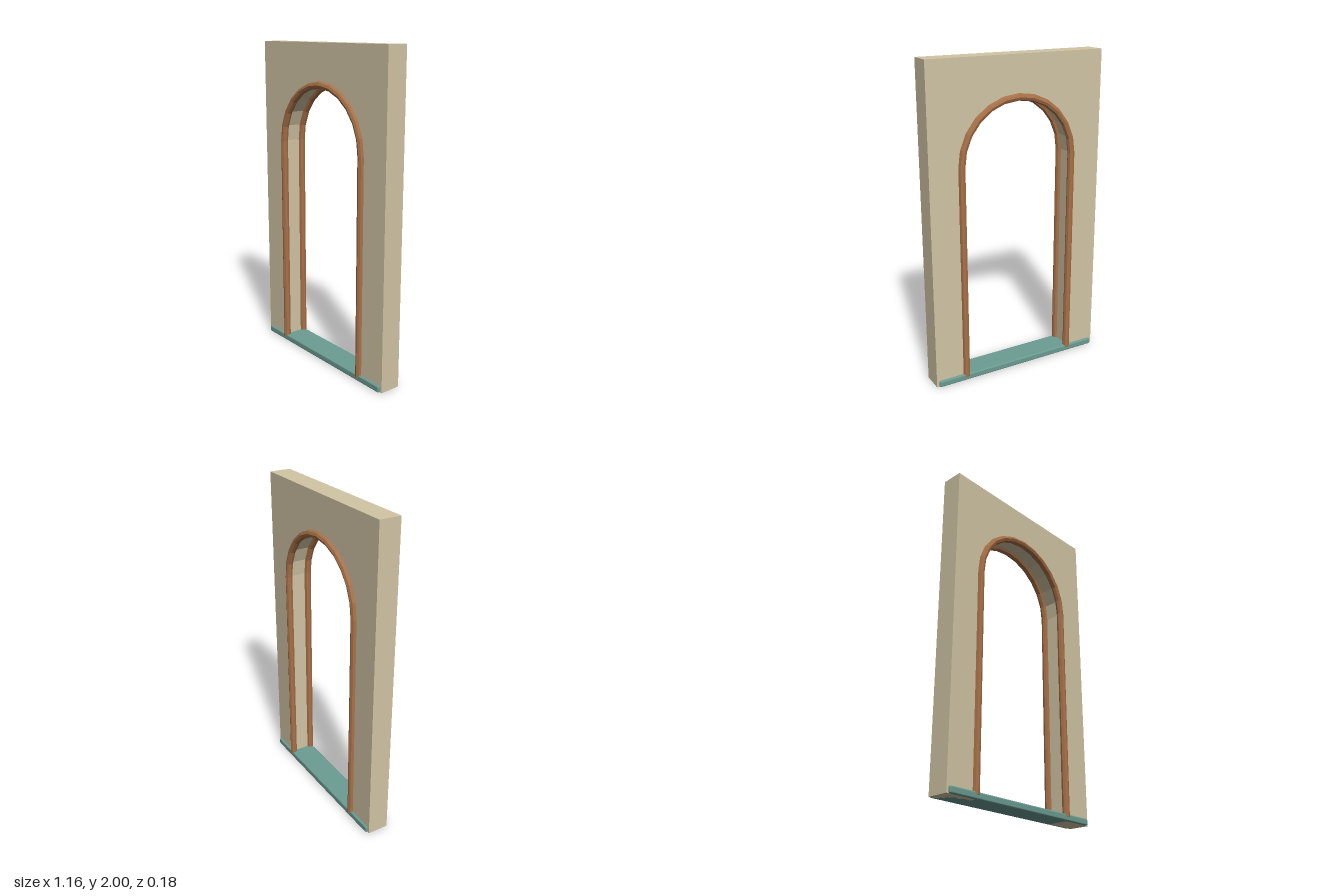
import * as THREE from 'three';
import { RoundedBoxGeometry } from 'three/addons/geometries/RoundedBoxGeometry.js';

const HALF_WIDTH = 0.58, HEIGHT = 2, WALL_DEPTH = 0.134;
const RADIUS = 0.375, SPRING = 1.38, ARC_STEPS = 12;
const TRIM_RADIUS = 0.022, TRIM_BOTTOM = 0.025;

const material = (color) => new THREE.MeshStandardMaterial({ color, flatShading: true });

function part(name, geometry, mat) {
  const mesh = new THREE.Mesh(geometry, mat);
  mesh.name = name;
  return mesh;
}

// Outline of the opening: right leg, faceted half circle, left leg
function archStations(bottom) {
  const up = new THREE.Vector3(0, 1, 0);
  const stations = [{ p: new THREE.Vector3(RADIUS, bottom, 0), t: up }];
  for (let i = 0; i <= ARC_STEPS; i++) {
    const a = (i / ARC_STEPS) * Math.PI;
    stations.push({
      p: new THREE.Vector3(RADIUS * Math.cos(a), SPRING + RADIUS * Math.sin(a), 0),
      t: new THREE.Vector3(-Math.sin(a), Math.cos(a), 0),
    });
  }
  stations.push({ p: new THREE.Vector3(-RADIUS, bottom, 0), t: up.clone().negate() });
  return stations;
}

// Curve that puts one tube ring exactly on each station
class ArchCurve extends THREE.Curve {
  constructor(stations) {
    super();
    this.stations = stations;
  }
  station(u) {
    return this.stations[Math.round(u * (this.stations.length - 1))];
  }
  getPointAt(u, target = new THREE.Vector3()) {
    return target.copy(this.station(u).p);
  }
  getTangentAt(u, target = new THREE.Vector3()) {
    return target.copy(this.station(u).t);
  }
}

export function createModel() {
  const model = new THREE.Group();
  model.name = 'archedDoorway';
  const plaster = material(0xd2c5a5);
  const wood = material(0xa87148);
  const sillPaint = material(0x6b9c92);

  // Wall slab with the arched opening running down to the floor
  const outline = [
    ...archStations(0).map(({ p }) => new THREE.Vector2(p.x, p.y)),
    new THREE.Vector2(-HALF_WIDTH, 0),
    new THREE.Vector2(-HALF_WIDTH, HEIGHT),
    new THREE.Vector2(HALF_WIDTH, HEIGHT),
    new THREE.Vector2(HALF_WIDTH, 0),
  ];
  const wall = new THREE.ExtrudeGeometry(new THREE.Shape(outline), {
    depth: WALL_DEPTH, bevelEnabled: false,
  });
  wall.translate(0, 0, -WALL_DEPTH / 2);
  model.add(part('wall', wall, plaster));

  // Eight-sided moulding round the opening on both faces
  const stations = archStations(TRIM_BOTTOM);
  const tube = new THREE.TubeGeometry(
    new ArchCurve(stations), stations.length - 1, TRIM_RADIUS, 8, false);
  const cap = new THREE.CircleGeometry(TRIM_RADIUS, 8).rotateX(Math.PI / 2);
  for (const [name, side] of [['frontTrim', 1], ['backTrim', -1]]) {
    const trim = new THREE.Group();
    trim.name = name;
    trim.position.z = side * WALL_DEPTH / 2;
    trim.add(part('moulding', tube, wood));
    for (const x of [-RADIUS, RADIUS]) {
      const foot = part('mouldingFoot', cap, wood);
      foot.position.set(x, TRIM_BOTTOM, 0);
      trim.add(foot);
    }
    model.add(trim);
  }

  // Threshold with softened edges
  const sill = new RoundedBoxGeometry(1.13, 0.04, 0.164, 2, 0.008);
  sill.translate(0, 0.02, 0);
  model.add(part('threshold', sill, sillPaint));

  return model;
}
